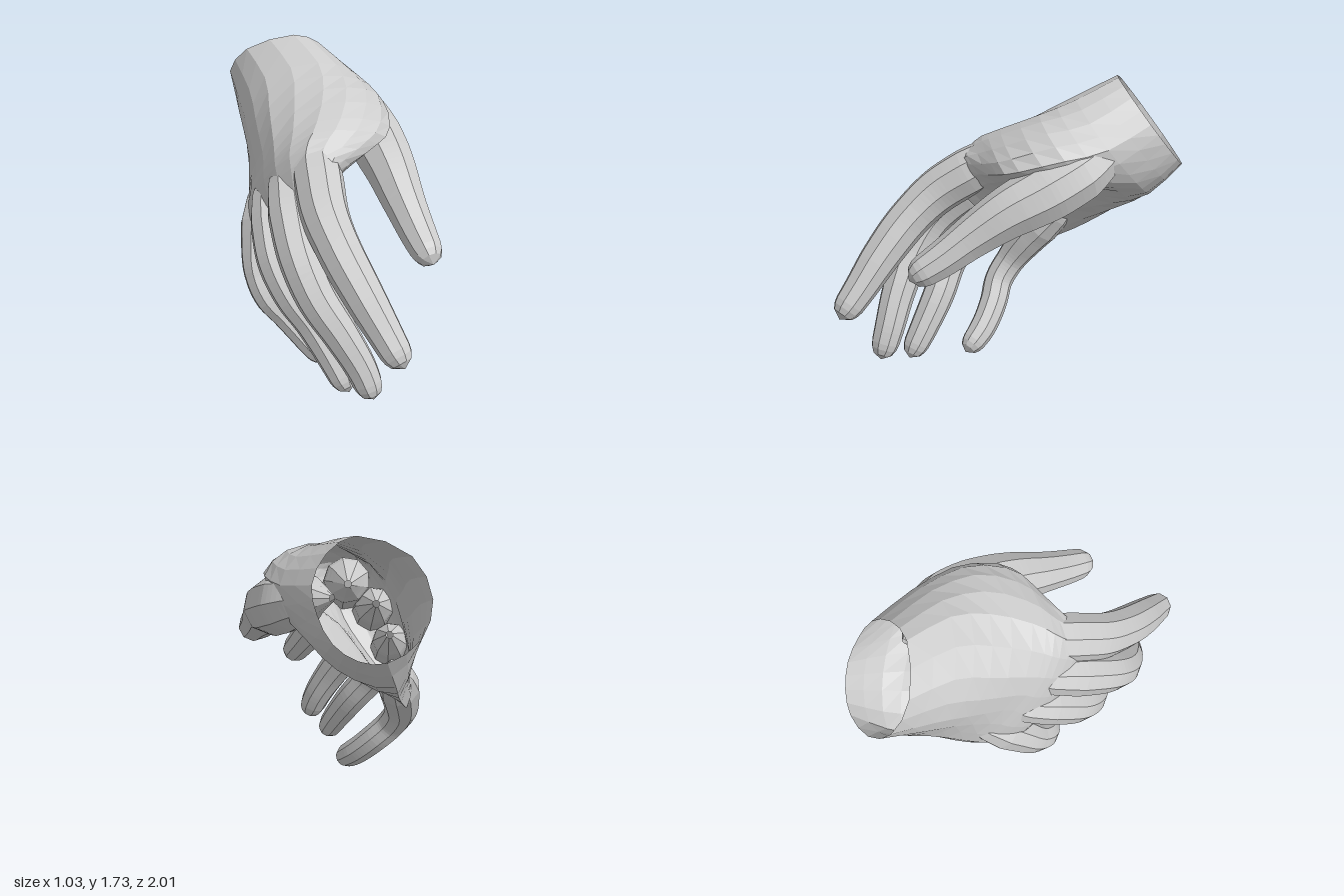
import * as THREE from 'three';

const material = new THREE.MeshStandardMaterial({ color: 0xcccccc, flatShading: true, side: THREE.DoubleSide });

// Hand body: closed x,y outlines from wrist to knuckles. Each lies in a plane
// leaning back with z = w + 0.75 * (y - 1.2); order: heel, back, thumb side, palm.
const SECTIONS = [
  { w: -1.0, p: [-.22, 1.2, -.39, 1.29, -.46, 1.45, -.37, 1.63, -.1, 1.72, .05, 1.65, .13, 1.52, .11, 1.4, .04, 1.28, -.08, 1.21] },
  { w: -0.66, p: [-.29, .98, -.4, 1.13, -.43, 1.33, -.3, 1.53, .0, 1.62, .2, 1.55, .29, 1.43, .2, 1.25, .08, 1.12, -.08, 1.02] },
  { w: -0.38, p: [-.33, .84, -.4, 1.01, -.41, 1.2, -.31, 1.41, -.02, 1.53, .23, 1.51, .36, 1.4, .25, 1.22, .03, 1.12, -.13, .95] },
  { w: -0.08, p: [-.39, .7, -.43, .86, -.4, 1.08, -.32, 1.28, -.11, 1.42, .14, 1.41, .32, 1.33, .18, 1.22, -.03, 1.1, -.22, .87] },
  { w: 0.05, p: [-.41, .65, -.45, .8, -.42, 1.0, -.33, 1.22, -.17, 1.36, .04, 1.35, .2, 1.28, .07, 1.15, -.13, .96, -.28, .78] },
  { w: 0.22, p: [-.42, .6, -.45, .72, -.41, .92, -.32, 1.12, -.19, 1.25, -.07, 1.27, -.01, 1.19, -.05, 1.06, -.16, .9, -.3, .73] },
];

function createPalm() {
  const sides = 20, steps = 13;
  const rings = SECTIONS.map(({ w, p }) => {
    const pts = [];
    for (let i = 0; i < p.length; i += 2) pts.push(new THREE.Vector3(p[i], p[i + 1], w + 0.75 * (p[i + 1] - 1.2)));
    return new THREE.CatmullRomCurve3(pts, true).getPoints(sides).slice(0, sides);
  });
  // shrunken ring that rounds off the knuckle end
  const last = rings[rings.length - 1];
  const middle = last.reduce((s, v) => s.add(v), new THREE.Vector3()).divideScalar(sides);
  rings.push(last.map(v => v.clone().lerp(middle, 0.3).add(new THREE.Vector3(0, -0.06, 0.1))));

  const lines = last.map((_, j) => new THREE.CatmullRomCurve3(rings.map(r => r[j])).getPoints(steps));
  const position = [], index = [];
  for (let i = 0; i <= steps; i++) {
    for (let j = 0; j < sides; j++) {
      position.push(...lines[j][i].toArray());
      if (i === steps) continue;
      const a = i * sides + j, b = i * sides + (j + 1) % sides;
      index.push(a, a + sides, b, b, a + sides, b + sides);
    }
  }
  // close the knuckle end; the wrist stays open
  const pole = position.length / 3, start = steps * sides;
  position.push(...middle.clone().add(new THREE.Vector3(0, -0.07, 0.12)).toArray());
  for (let j = 0; j < sides; j++) index.push(start + j, pole, start + (j + 1) % sides);

  const geometry = new THREE.BufferGeometry();
  geometry.setAttribute('position', new THREE.Float32BufferAttribute(position, 3));
  geometry.setIndex(index);
  geometry.computeVertexNormals();
  return geometry;
}

// Tube along a path whose radius follows a list of values and closes in a dome
function createFinger(points, radii) {
  const segments = 44, sides = 9, dome = 0.07;
  const curve = new THREE.CatmullRomCurve3(points.map(p => new THREE.Vector3(...p)));
  const geometry = new THREE.TubeGeometry(curve, segments, 1, sides);
  const pos = geometry.attributes.position, v = new THREE.Vector3();
  for (let i = 0; i <= segments; i++) {
    const t = i / segments, centre = curve.getPointAt(t);
    const k = t * (radii.length - 1), n = Math.min(Math.floor(k), radii.length - 2);
    const end = Math.max(0, (t - 1 + dome) / dome);
    const r = THREE.MathUtils.lerp(radii[n], radii[n + 1], k - n) * Math.sqrt(Math.max(0, 1 - end * end));
    for (let j = 0; j <= sides; j++) {
      const id = i * (sides + 1) + j;
      v.fromBufferAttribute(pos, id).sub(centre).multiplyScalar(r).add(centre);
      pos.setXYZ(id, v.x, v.y, v.z);
    }
  }
  geometry.computeVertexNormals();
  return geometry;
}

// Each path starts inside the palm and ends at the fingertip
const FINGERS = {
  thumb: {
    path: [[.02, 1.4, -.62], [.13, 1.36, -.5], [.23, 1.29, -.36], [.295, 1.2, -.17], [.335, 1.11, .03], [.365, 1.0, .21], [.405, .88, .39], [.445, .78, .57]],
    radii: [.02, .13, .165, .168, .155, .135, .115, .1, .08],
  },
  indexFinger: {
    path: [[-.1, 1.3, -.13], [-.11, 1.25, .08], [-.12, 1.17, .24], [-.12, 1.06, .41], [-.07, .92, .57], [.02, .74, .73], [.11, .57, .86], [.19, .42, .98]],
    radii: [.02, .13, .14, .135, .125, .12, .11, .095, .08],
  },
  middleFinger: {
    path: [[-.26, 1.17, -.1], [-.27, 1.08, .1], [-.28, .98, .27], [-.265, .83, .44], [-.2, .65, .56], [-.08, .45, .65], [.02, .26, .71], [.08, .085, .765]],
    radii: [.02, .11, .125, .12, .115, .11, .1, .09, .075],
  },
  ringFinger: {
    path: [[-.32, 1.04, -.24], [-.35, .93, -.06], [-.365, .84, .08], [-.36, .7, .23], [-.295, .54, .34], [-.19, .38, .41], [-.1, .21, .5], [-.02, .03, .6]],
    radii: [.02, .1, .115, .11, .105, .1, .095, .085, .07],
  },
  littleFinger: {
    path: [[-.31, .94, -.42], [-.36, .79, -.28], [-.4, .64, -.155], [-.42, .48, -.04], [-.38, .36, .04], [-.29, .25, .08], [-.19, .13, .15], [-.09, .015, .26]],
    radii: [.02, .1, .12, .108, .092, .088, .085, .08, .065],
  },
};

export function createModel() {
  const hand = new THREE.Group();
  hand.name = 'hand';
  const add = (name, geometry) => {
    const mesh = new THREE.Mesh(geometry, material);
    mesh.name = name;
    hand.add(mesh);
  };
  add('palmAndWrist', createPalm());
  for (const [name, { path, radii }] of Object.entries(FINGERS)) add(name, createFinger(path, radii));
  return hand;
}
